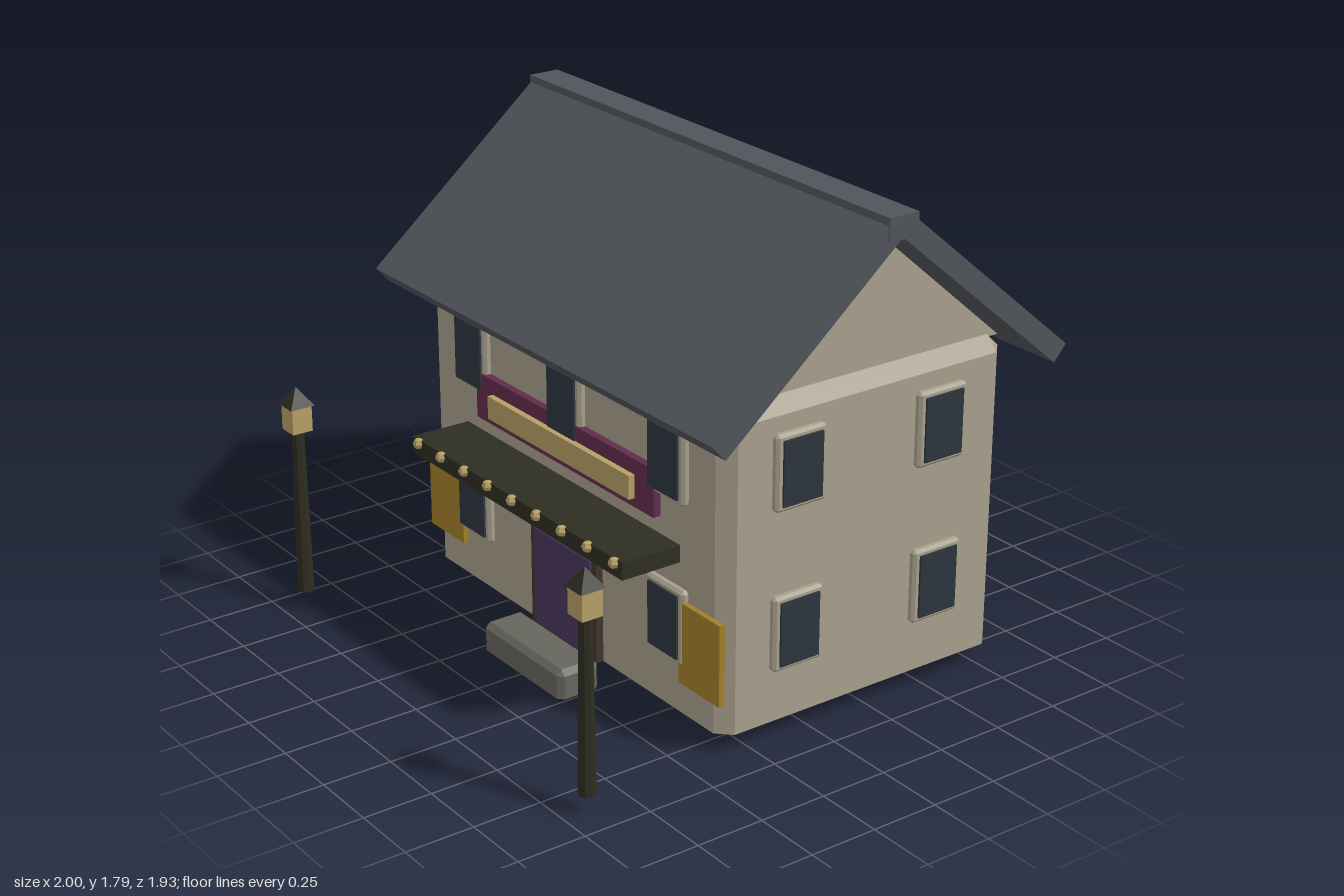
import * as THREE from 'three';

const mat = (name, color, extra = {}) => Object.assign(new THREE.MeshStandardMaterial({ color, flatShading: true, ...extra }), { name });

export function createModel() {
  const model = new THREE.Group();
  model.name = 'townHouse';
  const M = {
    wall: mat('plaster', 0xa89f8c, { side: THREE.DoubleSide }),
    roof: mat('slate', 0x50555b),
    glass: mat('windowGlass', 0x2c353d),
    plum: mat('signPlum', 0x612c4b),
    gold: mat('paleGold', 0xb59f66),
    ochre: mat('ochre', 0xa17e2a),
    dark: mat('darkIron', 0x2d2d21),
    brown: mat('doorFrameBrown', 0x41352a),
    violet: mat('doorViolet', 0x47365a),
    stone: mat('stone', 0x67655d),
  };

  function add(parent, name, geo, material, x = 0, y = 0, z = 0) {
    const mesh = new THREE.Mesh(geo, material);
    mesh.name = name;
    mesh.position.set(x, y, z);
    parent.add(mesh);
    return mesh;
  }

  // Box given by its limits
  function block(parent, name, material, x0, x1, y0, y1, z0, z1) {
    return add(parent, name, new THREE.BoxGeometry(x1 - x0, y1 - y0, z1 - z0), material,
      (x0 + x1) / 2, (y0 + y1) / 2, (z0 + z1) / 2);
  }

  // Box standing on y = 0 with chamfered upright and top edges
  function chamferedBox(w, h, d, b, closed = true) {
    const a = w / 2, c = d / 2;
    const ring = (y, o, i) => [
      [a - o, y, c - i], [a - i, y, c - o], [i - a, y, c - o], [o - a, y, c - i],
      [o - a, y, i - c], [i - a, y, o - c], [a - i, y, o - c], [a - o, y, i - c]];
    const rings = [ring(0, 0, b), ring(h - b, 0, b), ring(h, b, b)];
    const pos = [];
    const tri = (...p) => p.forEach((v) => pos.push(...v));
    for (let r = 0; r < 2; r++) {
      for (let k = 0; k < 8; k++) {
        const n = (k + 1) % 8;
        const [p, q, s, t] = [rings[r][k], rings[r][n], rings[r + 1][n], rings[r + 1][k]];
        tri(p, s, q);
        tri(p, t, s);
      }
    }
    for (let k = 1; k < 7; k++) {
      tri(rings[2][0], rings[2][k + 1], rings[2][k]);
      if (closed) tri(rings[0][0], rings[0][k], rings[0][k + 1]);
    }
    const geo = new THREE.BufferGeometry();
    geo.setAttribute('position', new THREE.Float32BufferAttribute(pos, 3));
    geo.computeVertexNormals();
    return geo;
  }

  // Outline in (z, y) swept along x
  function sweepX(points, width) {
    const shape = new THREE.Shape(points.map(([z, y]) => new THREE.Vector2(-z, y)));
    const geo = new THREE.ExtrudeGeometry(shape, { depth: width, bevelEnabled: false });
    return geo.translate(0, 0, -width / 2).rotateY(Math.PI / 2);
  }

  // Walls, open underneath, and the gable
  const midZ = -0.2275;
  add(model, 'walls', chamferedBox(1.74, 1.14, 1.185, 0.05, false), M.wall, 0, 0.07, midZ);
  add(model, 'gable', sweepX([[0.59, 1.2], [0, 1.71], [-0.59, 1.2]], 1.64), M.wall, 0, 0, midZ);

  // Roof slopes and ridge cap
  for (const s of [1, -1]) {
    const slab = [[0.688, 1.13], [0.738, 1.186], [0.05, 1.768], [0, 1.71]].map(([z, y]) => [z * s, y]);
    add(model, s > 0 ? 'frontRoofSlope' : 'backRoofSlope', sweepX(slab, 1.99), M.roof, 0, 0, midZ);
  }
  block(model, 'ridgeCap', M.roof, -1, 1, 1.706, 1.786, midZ - 0.06, midZ + 0.06);

  // Windows: local +z points out of the wall
  function addWindow(x, y, z, turn) {
    const win = new THREE.Group();
    win.name = 'window';
    add(win, 'windowFrame', chamferedBox(0.205, 0.05, 0.27, 0.01).rotateX(Math.PI / 2), M.wall, 0, 0, -0.026);
    block(win, 'windowPane', M.glass, -0.08, 0.08, -0.115, 0.115, 0.023, 0.032);
    win.position.set(x, y, z);
    win.rotation.y = turn;
    model.add(win);
  }
  const low = 0.395, high = 0.967;
  const frontZ = 0.365, backZ = -0.82;
  for (const [x, y] of [[-0.578, high], [0, high], [0.578, high], [-0.578, low], [0.578, low]]) addWindow(x, y, frontZ, 0);
  for (const [x, y] of [[-0.578, high], [0, high], [-0.578, low]]) addWindow(x, y, backZ, Math.PI);
  for (const s of [1, -1])
    for (const z of [0.073, -0.523])
      for (const y of [low, high]) addWindow(s * 0.87, y, z, s * Math.PI / 2);

  // Door and step
  block(model, 'doorFrame', M.brown, -0.197, 0.197, 0.07, 0.487, 0.34, 0.393);
  block(model, 'door', M.violet, -0.17, 0.17, 0.08, 0.447, 0.393, 0.4);
  add(model, 'doorStep', chamferedBox(0.48, 0.106, 0.165, 0.02), M.stone, 0, 0, 0.492);

  // Sign board over the entrance
  block(model, 'signBoard', M.plum, -0.527, 0.527, 0.743, 0.914, 0.36, 0.393);
  block(model, 'signPanel', M.gold, -0.422, 0.422, 0.775, 0.86, 0.393, 0.416);

  // Canopy with a row of lamps
  block(model, 'canopy', M.dark, -0.635, 0.635, 0.618, 0.68, 0.345, 0.595);
  for (let i = -4; i <= 4; i++)
    add(model, 'canopyLamp', new THREE.SphereGeometry(0.021, 6, 4), M.gold, i * 0.1485, 0.667, 0.598);

  // Side panels and lamp posts, mirrored
  for (const s of [1, -1]) {
    add(model, 'wallPanel', new THREE.BoxGeometry(0.22, 0.295, 0.022), M.ochre, s * 0.765, 0.342, 0.374);
    const post = new THREE.Group();
    post.name = 'lampPost';
    add(post, 'postShaft', new THREE.CylinderGeometry(0.023, 0.031, 0.63, 8), M.dark, 0, 0.385, 0);
    add(post, 'lantern', new THREE.BoxGeometry(0.078, 0.1, 0.078), M.gold, 0, 0.748, 0);
    const cap = new THREE.ConeGeometry(0.047 * Math.SQRT2, 0.068, 4).rotateY(Math.PI / 4);
    add(post, 'lanternCap', cap, M.dark, 0, 0.828, 0);
    post.position.set(s * 0.89, 0, 0.915);
    model.add(post);
  }
  return model;
}
